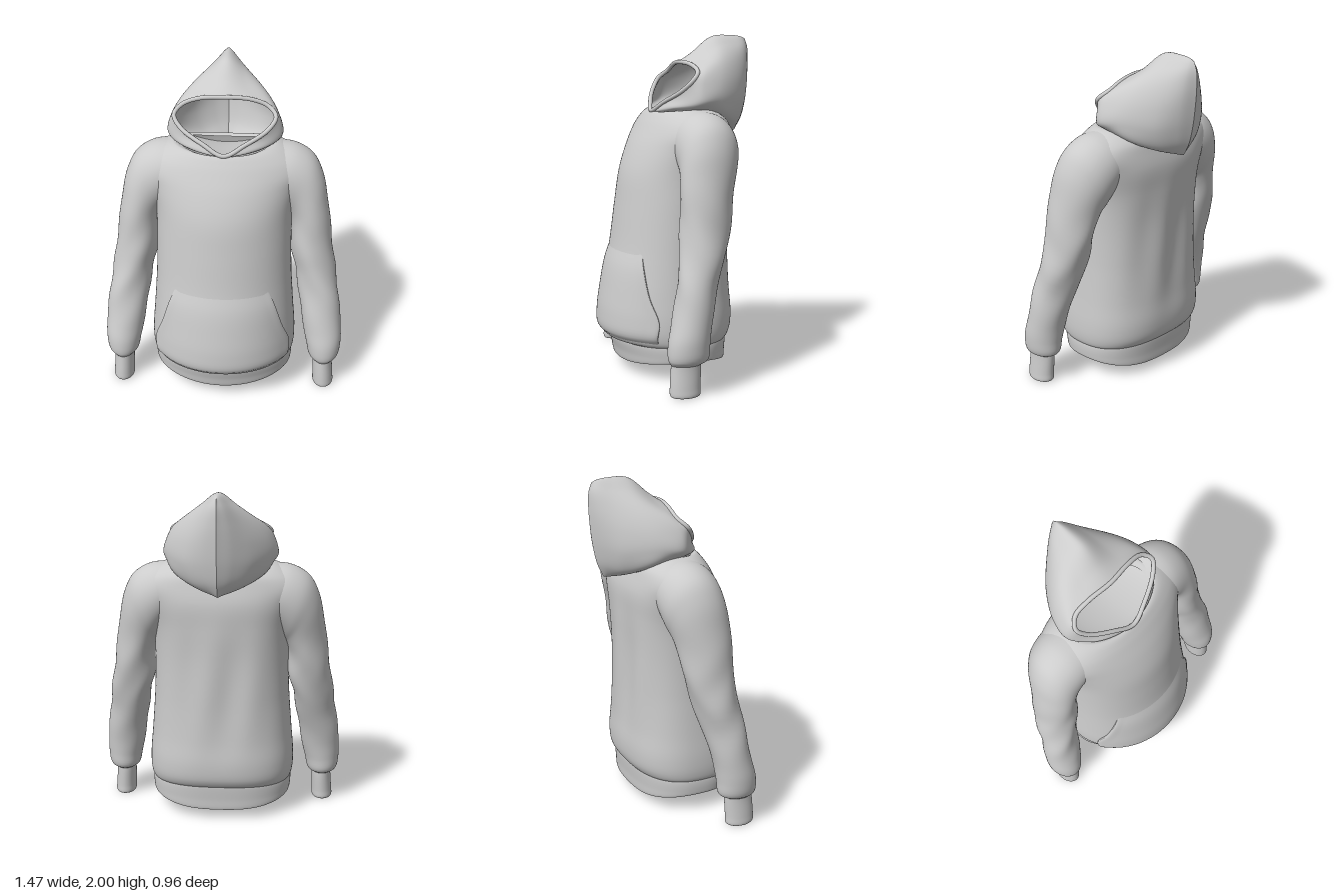
import * as THREE from 'three';

const V = (x, y, z) => new THREE.Vector3(x, y, z);
const material = new THREE.MeshStandardMaterial({ color: 0xcccccc, side: THREE.DoubleSide });

// Smooth surface through rows of control points, optionally closed around each row
function loft(name, rows, closed = true, warp = null, across = 5, along = 5) {
  const n = closed ? rows[0].length * across : (rows[0].length - 1) * across + 1;
  const m = (rows.length - 1) * along;
  const rings = rows.map((r) => {
    const c = new THREE.CatmullRomCurve3(r, closed);
    return Array.from({ length: n }, (_, i) => c.getPoint(i / (closed ? n : n - 1)));
  });
  const pos = [], idx = [];
  for (let i = 0; i < n; i++) {
    const column = new THREE.CatmullRomCurve3(rings.map((r) => r[i]));
    for (let j = 0; j <= m; j++) {
      const p = column.getPoint(j / m);
      if (warp) warp(p);
      pos.push(p.x, p.y, p.z);
    }
  }
  for (let i = 0; i < (closed ? n : n - 1); i++) {
    for (let j = 0; j < m; j++) {
      const a = i * (m + 1) + j, b = ((i + 1) % n) * (m + 1) + j;
      idx.push(a, a + 1, b, b, a + 1, b + 1);
    }
  }
  const g = new THREE.BufferGeometry();
  g.setAttribute('position', new THREE.Float32BufferAttribute(pos, 3));
  g.setIndex(idx);
  g.computeVertexNormals();
  const mesh = new THREE.Mesh(g, material);
  mesh.name = name;
  return mesh;
}

const bump = (v, a, b) => (v <= a || v >= b ? 0 : Math.sin(((v - a) / (b - a)) * Math.PI) ** 2);

// Torso sections: y at side, front, back; half width; z of side, front, back
const BAND = [
  [0.16, 0.14, 0.14, 0.405, 0.08, 0.355, -0.235],
  [0.12, 0.08, 0.07, 0.41, 0.08, 0.36, -0.24],
  [0.115, 0.072, 0.065, 0.423, 0.08, 0.372, -0.25],
  [0.15, 0.13, 0.13, 0.43, 0.08, 0.385, -0.255],
  [0.2, 0.19, 0.2, 0.43, 0.08, 0.4, -0.26],
  [0.22, 0.21, 0.22, 0.425, 0.08, 0.4, -0.26],
];
const TORSO = [
  [0.2, 0.2, 0.21, 0.422, 0.08, 0.4, -0.255],
  [0.22, 0.215, 0.23, 0.435, 0.08, 0.44, -0.272],
  [0.27, 0.26, 0.27, 0.444, 0.08, 0.465, -0.29],
  [0.36, 0.36, 0.36, 0.444, 0.08, 0.468, -0.298],
  [0.5, 0.5, 0.5, 0.432, 0.08, 0.448, -0.288],
  [0.65, 0.65, 0.65, 0.42, 0.075, 0.418, -0.282],
  [0.77, 0.77, 0.77, 0.412, 0.07, 0.395, -0.28],
  [1.0, 1.0, 1.0, 0.405, 0.05, 0.363, -0.28],
  [1.2, 1.2, 1.2, 0.412, 0.02, 0.33, -0.287],
  [1.34, 1.35, 1.35, 0.45, -0.01, 0.275, -0.288],
  [1.42, 1.45, 1.45, 0.49, -0.03, 0.222, -0.265],
  [1.49, 1.51, 1.51, 0.45, -0.03, 0.185, -0.245],
  [1.57, 1.55, 1.53, 0.31, -0.03, 0.15, -0.215],
  [1.56, 1.54, 1.52, 0.26, -0.03, 0.13, -0.19],
];

// Point on a torso section, rounder in front than at the back
function torsoPoint([ys, yf, yb, w, zm, zf, zb], a, out = 0) {
  const c = Math.cos(a), s = Math.sin(a), front = s >= 0;
  const e = front ? 1 : 2 / 2.6;
  const y = ys + ((front ? yf : yb) - ys) * s * s;
  const depth = (front ? zf - zm : zm - zb) + out;
  return V((w + out) * Math.sign(c) * Math.abs(c) ** e, y, zm + depth * Math.sign(s) * Math.abs(s) ** e);
}
const torsoRing = (row) => Array.from({ length: 24 }, (_, i) => torsoPoint(row, (i / 24) * Math.PI * 2));

// Hanging folds across the back
function backFolds(p) {
  if (p.z < 0) p.z += 0.012 * Math.cos(p.x * 21 + p.y * 2) * bump(p.y, 0.28, 1.42) * bump(p.x, -0.42, 0.42);
}

// Front pocket: a raised panel with slanted hand openings
function pocket() {
  const halfWidths = [0.385, 0.395, 0.4, 0.355, 0.31, 0.275];
  const rows = halfWidths.map((hw, k) => {
    const row = TORSO[k + 1], a0 = Math.acos(hw / row[3]);
    const lift = k === 0 || k === 5 ? -0.006 : 0.013;
    return Array.from({ length: 15 }, (_, i) => {
      const t = Math.min(Math.max((i - 1) / 12, 0), 1);
      return torsoPoint(row, a0 + (Math.PI - 2 * a0) * t, i === 0 || i === 14 ? -0.01 : lift);
    });
  });
  return loft('pocket', rows, false);
}

// Sleeve sections: outer x, y; inner x, y; z centre; z radius
const SLEEVE = [
  [0.3, 1.565, 0.28, 1.25, -0.04, 0.18],
  [0.42, 1.55, 0.33, 1.18, -0.04, 0.185],
  [0.52, 1.49, 0.37, 1.12, -0.035, 0.18],
  [0.58, 1.38, 0.39, 1.08, -0.02, 0.17],
  [0.615, 1.22, 0.405, 1.0, 0, 0.158],
  [0.645, 1.02, 0.41, 0.86, 0.02, 0.148],
  [0.67, 0.84, 0.44, 0.74, 0.04, 0.135],
  [0.705, 0.62, 0.472, 0.55, 0.095, 0.118],
  [0.73, 0.42, 0.5, 0.38, 0.135, 0.115],
  [0.735, 0.3, 0.522, 0.28, 0.155, 0.12],
  [0.722, 0.21, 0.54, 0.205, 0.16, 0.115],
  [0.69, 0.18, 0.568, 0.18, 0.172, 0.088],
];
const CUFF = [
  [0.687, 0.2, 0.568, 0.2, 0.172, 0.086],
  [0.688, 0.15, 0.568, 0.15, 0.174, 0.088],
  [0.696, 0.05, 0.57, 0.05, 0.18, 0.089],
  [0.698, 0.008, 0.572, 0.008, 0.18, 0.088],
  [0.692, 0.0, 0.578, 0.0, 0.18, 0.08],
  [0.684, 0.015, 0.586, 0.015, 0.18, 0.072],
  [0.68, 0.14, 0.59, 0.14, 0.175, 0.07],
];
const sleeveRing = ([ox, oy, ix, iy, zc, rz], side) => Array.from({ length: 16 }, (_, i) => {
  const a = (i / 16) * Math.PI * 2, c = Math.cos(a) / 2;
  return V(side * ((ox + ix) / 2 + (ox - ix) * c), (oy + iy) / 2 + (oy - iy) * c, zc + rz * Math.sin(a));
});

// Soft diagonal creases around the elbow and above the cuff
function sleeveFolds(p) {
  const k = 0.007 * bump(p.y, 0.25, 1.35);
  p.z += k * Math.sin(p.y * 17 + Math.abs(p.x) * 24);
  p.x += Math.sign(p.x) * k * 0.7 * Math.sin(p.y * 19 - p.z * 18);
}

// Hood sections from the face opening to the back seam, right-hand half from top to bottom
const HOOD = [
  [[0, 1.84, -0.03], [0.15, 1.825, -0.045], [0.25, 1.785, -0.045], [0.293, 1.74, 0], [0.25, 1.68, 0.05], [0.12, 1.61, 0.115], [0, 1.555, 0.15]],
  [[0, 1.895, -0.11], [0.13, 1.86, -0.115], [0.25, 1.805, -0.1], [0.313, 1.72, -0.06], [0.332, 1.615, -0.03], [0.21, 1.575, 0.09], [0, 1.545, 0.14]],
  [[0, 1.99, -0.23], [0.1, 1.93, -0.24], [0.21, 1.835, -0.22], [0.285, 1.72, -0.19], [0.31, 1.62, -0.17], [0.27, 1.535, -0.18], [0, 1.47, -0.18]],
  [[0, 2.0, -0.35], [0.07, 1.94, -0.36], [0.14, 1.84, -0.35], [0.185, 1.72, -0.345], [0.195, 1.6, -0.34], [0.15, 1.485, -0.33], [0, 1.43, -0.33]],
  [[0, 1.993, -0.42], [0.035, 1.945, -0.435], [0.07, 1.84, -0.435], [0.088, 1.72, -0.428], [0.088, 1.6, -0.415], [0.065, 1.495, -0.395], [0, 1.423, -0.37]],
  [[0, 1.98, -0.452], [0, 1.93, -0.47], [0, 1.84, -0.474], [0, 1.72, -0.466], [0, 1.6, -0.45], [0, 1.5, -0.425], [0, 1.425, -0.388]],
];
const mirrored = (half) => [...half, ...half.slice(1, -1).reverse().map(([x, y, z]) => [-x, y, z])].map((p) => V(...p));

export function createModel() {
  const model = new THREE.Group();
  model.name = 'hoodie';

  model.add(loft('body', TORSO.map(torsoRing), true, backFolds));
  model.add(loft('waistband', BAND.map(torsoRing)));
  model.add(pocket());

  for (const side of [1, -1]) {
    const arm = new THREE.Group();
    arm.name = side > 0 ? 'leftArm' : 'rightArm';
    arm.add(loft('sleeve', SLEEVE.map((r) => sleeveRing(r, side)), true, sleeveFolds));
    arm.add(loft('cuff', CUFF.map((r) => sleeveRing(r, side))));
    model.add(arm);
  }

  // Hood shell and the rolled hem around the face opening
  const hood = new THREE.Group();
  hood.name = 'hood';
  hood.add(loft('hoodShell', HOOD.map(mirrored), true, null, 8, 8));
  const hemPath = new THREE.CatmullRomCurve3(mirrored(HOOD[0]), true);
  const hem = new THREE.Mesh(new THREE.TubeGeometry(hemPath, 120, 0.013, 10, true), material);
  hem.name = 'hoodHem';
  hood.add(hem);
  model.add(hood);

  return model;
}
